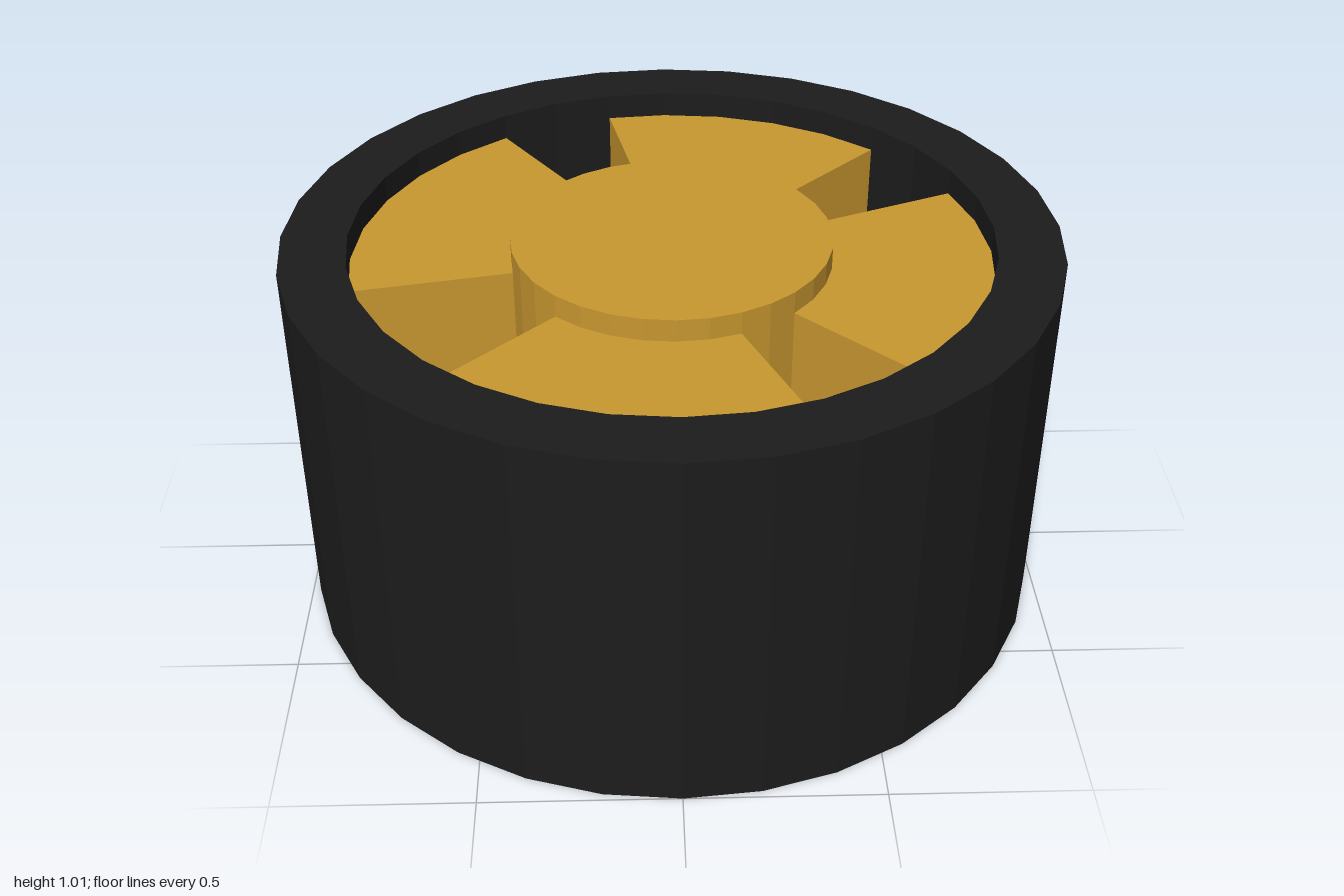
import * as THREE from 'three';

const SIDES = 32;
const HEIGHT = 1.01, RIM = 0.83, HUB = 0.415;
const FLOOR = 0.5, SPOKE_TOP = 0.94, HUB_TOP = 1.0;

const material = (color) => new THREE.MeshStandardMaterial({ color, flatShading: true });

function part(name, geometry, mat) {
  const mesh = new THREE.Mesh(geometry, mat);
  mesh.name = name;
  return mesh;
}

// Point on the 32-sided ring, counted clockwise from the back as seen from above
function ringPoint(radius, step) {
  const a = (step / SIDES) * Math.PI * 2;
  return new THREE.Vector2(radius * Math.sin(a), radius * Math.cos(a));
}

// Wedge between hub and rim covering whole facets of the ring
function wedgeGeometry(from, to) {
  const points = [];
  for (let i = from; i <= to; i++) points.push(ringPoint(RIM, i));
  for (let i = to; i >= from; i--) points.push(ringPoint(HUB - 0.01, i));
  const geometry = new THREE.ExtrudeGeometry(new THREE.Shape(points), {
    depth: SPOKE_TOP - FLOOR, bevelEnabled: false,
  });
  return geometry.rotateX(-Math.PI / 2).translate(0, FLOOR, 0);
}

export function createModel() {
  const group = new THREE.Group();
  group.name = 'wheel';
  const rubber = material(0x1c1c1c);
  const gold = material(0xc89730);
  const grey = material(0x3a3a3a);

  // Tyre: closed bottom, outer wall, flat lip and inner wall
  const profile = [[0, 0], [1, 0], [1, HEIGHT], [RIM, HEIGHT], [RIM, FLOOR]]
    .map(([r, y]) => new THREE.Vector2(r, y));
  group.add(part('tyre', new THREE.LatheGeometry(profile, SIDES), rubber));

  // Recessed disc seen between the spokes
  const disc = new THREE.CircleGeometry(RIM, SIDES).rotateX(-Math.PI / 2).translate(0, FLOOR, 0);
  group.add(part('recessDisc', disc, grey));

  // Unevenly spaced wide spokes
  const spokes = new THREE.Group();
  spokes.name = 'spokes';
  [[6, 12], [14, 20], [23, 29], [31, 36]].forEach(([from, to], i) => {
    spokes.add(part(`spoke${i + 1}`, wedgeGeometry(from, to), gold));
  });
  group.add(spokes);

  // Raised hub cap
  const hub = new THREE.CylinderGeometry(HUB, HUB, HUB_TOP - FLOOR, SIDES)
    .translate(0, (HUB_TOP + FLOOR) / 2, 0);
  group.add(part('hub', hub, gold));

  return group;
}
